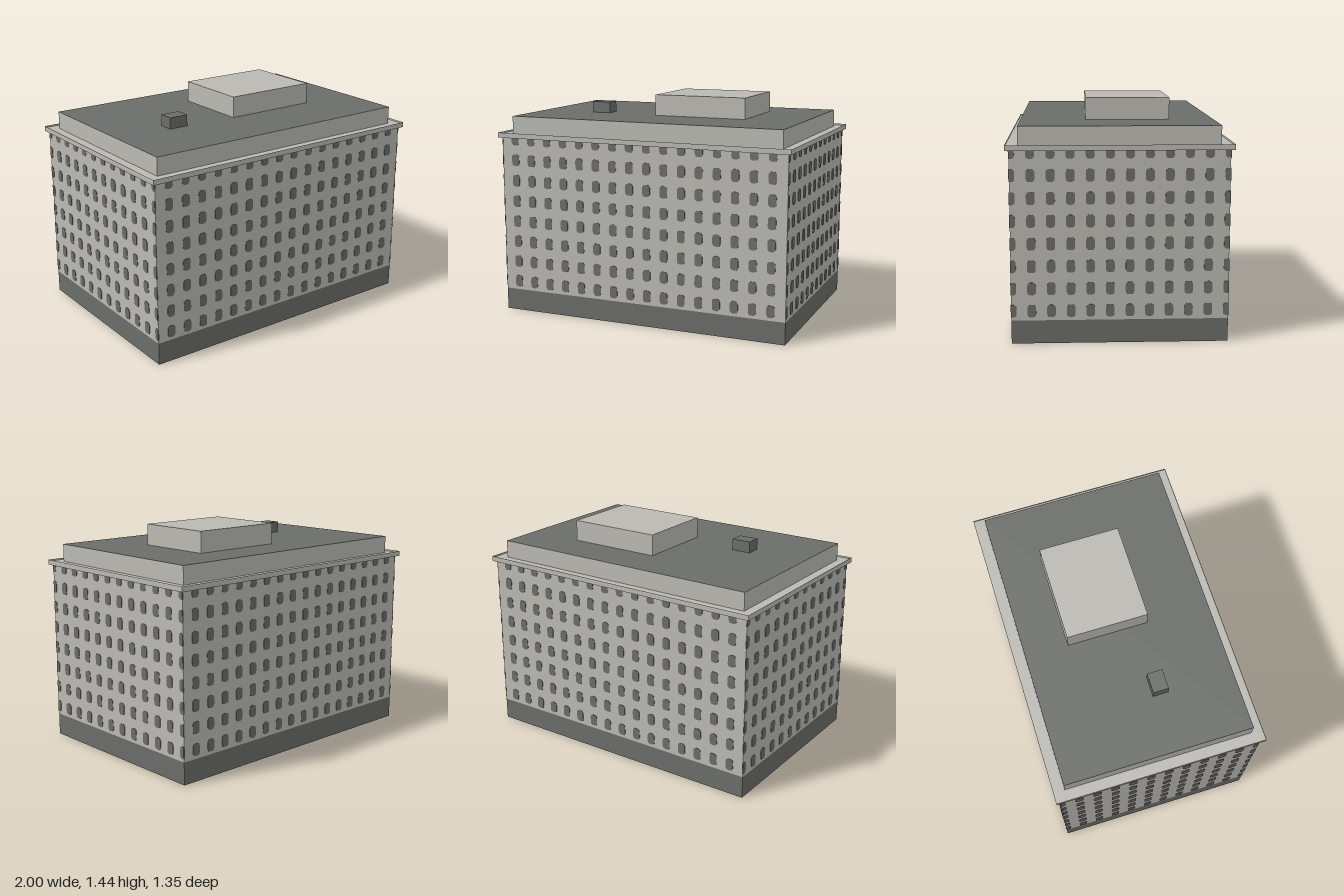
import * as THREE from 'three';

const WALL_X = 0.978, WALL_Z = 0.653;        // half sizes of the hollow body
const PLINTH_TOP = 0.143, WALL_TOP = 1.17;
const PITCH = 0.1177;                        // window column spacing

const stone = new THREE.MeshStandardMaterial({ name: 'paleStone', color: 0xbab9b3, side: THREE.DoubleSide });
const dark = new THREE.MeshStandardMaterial({ name: 'darkGrey', color: 0x6b6d6a, side: THREE.DoubleSide });

function add(parent, name, geometry, material) {
  const mesh = new THREE.Mesh(geometry, material);
  mesh.name = name;
  parent.add(mesh);
  return mesh;
}

// Box given by its limits on each axis
function block(parent, name, x0, x1, y0, y1, z0, z1, material) {
  const mesh = add(parent, name, new THREE.BoxGeometry(x1 - x0, y1 - y0, z1 - z0), material);
  mesh.position.set((x0 + x1) / 2, (y0 + y1) / 2, (z0 + z1) / 2);
  return mesh;
}

// Upright sheet centred on x = 0
function sheet(width, y0, y1) {
  return new THREE.PlaneGeometry(width, y1 - y0).translate(0, (y0 + y1) / 2, 0);
}

// Round-cornered window outline, cut off at the wall's edges
function windowShape(cx, cy, halfWall) {
  const w = 0.026, h = 0.0385, r = 0.018;
  const points = [];
  [[1, 1], [-1, 1], [-1, -1], [1, -1]].forEach(([sx, sy], corner) => {
    for (let i = 0; i <= 3; i++) {
      const a = (corner + i / 3) * Math.PI / 2;
      const x = cx + sx * (w - r) + r * Math.cos(a);
      const y = cy + sy * (h - r) + r * Math.sin(a);
      const p = new THREE.Vector2(
        THREE.MathUtils.clamp(x, -halfWall, halfWall), Math.min(y, WALL_TOP));
      const last = points[points.length - 1];
      if (!last || last.distanceTo(p) > 1e-5) points.push(p);
    }
  });
  return new THREE.Shape(points);
}

// One side of the body: plinth, wall and window plates seen from both faces
function facade(name, halfWall, columns) {
  const side = new THREE.Group();
  side.name = name;
  add(side, 'plinth', sheet(halfWall * 2, 0, PLINTH_TOP), dark);
  add(side, 'wall', sheet(halfWall * 2, PLINTH_TOP, WALL_TOP), stone);
  const shapes = [];
  for (let row = 0; row < 8; row++) {
    // one extra column at each end wraps round the corner
    for (let col = -1; col <= columns; col++) {
      shapes.push(windowShape((col - (columns - 1) / 2) * PITCH, 0.201 + row * 0.137, halfWall));
    }
  }
  const plates = new THREE.ExtrudeGeometry(shapes, { depth: 0.006, bevelEnabled: false });
  add(side, 'windows', plates.translate(0, 0, -0.003), dark);
  return side;
}

export function createModel() {
  const model = new THREE.Group();
  model.name = 'officeBuilding';

  // Four walls, open underneath
  const sides = [
    ['frontFacade', WALL_X, 16, WALL_Z],
    ['leftFacade', WALL_Z, 10, WALL_X],
    ['backFacade', WALL_X, 16, WALL_Z],
    ['rightFacade', WALL_Z, 10, WALL_X],
  ];
  sides.forEach(([name, halfWall, columns, distance], i) => {
    const side = facade(name, halfWall, columns);
    side.rotation.y = i * Math.PI / 2;
    side.position.set(Math.sin(side.rotation.y) * distance, 0, Math.cos(side.rotation.y) * distance);
    model.add(side);
  });

  // Cornice slab with a thin upstanding rim
  block(model, 'cornice', -1, 1, WALL_TOP, 1.192, -0.676, 0.676, stone);
  for (let i = 0; i < 4; i++) {
    const across = i % 2 === 0;
    const rim = add(model, 'corniceRim', sheet(across ? 2 : 1.352, 1.192, 1.203), stone);
    const angle = i * Math.PI / 2, distance = across ? 0.676 : 1;
    rim.rotation.y = angle;
    rim.position.set(Math.sin(angle) * distance, 0, Math.cos(angle) * distance);
  }

  // Set-back attic with a dark roof, and the roof structures
  block(model, 'attic', -0.928, 0.928, 1.192, 1.307, -0.604, 0.604,
    [stone, stone, dark, stone, stone, stone]);
  block(model, 'penthouse', -0.078, 0.546, 1.307, 1.444, -0.327, 0.195, stone);
  block(model, 'roofVent', -0.556, -0.427, 1.307, 1.38, 0.078, 0.177, dark);

  return model;
}
